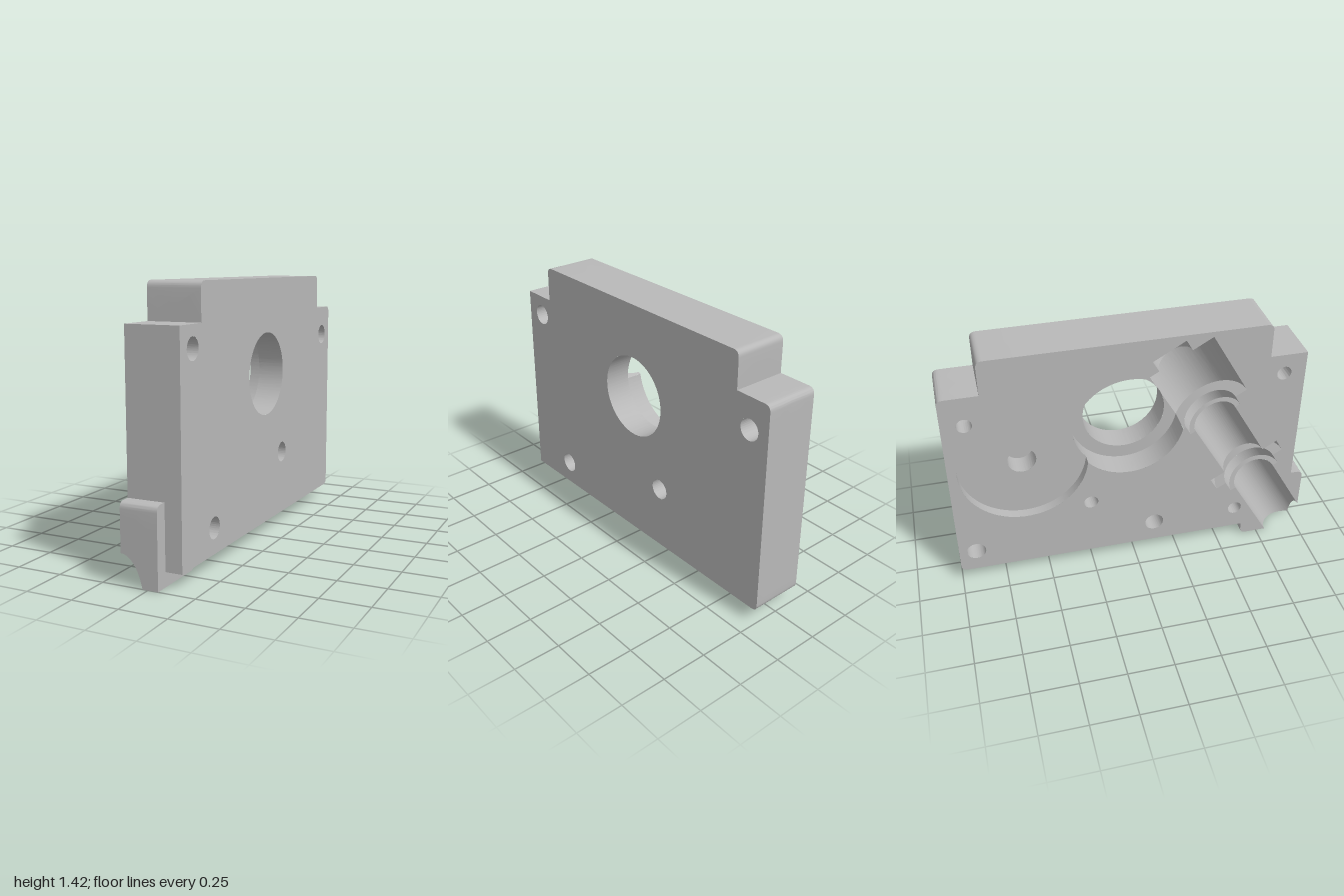
import * as THREE from 'three';
import { toCreasedNormals } from 'three/addons/utils/BufferGeometryUtils.js';

const HALF = 0.145; // half thickness of the plate
const steel = new THREE.MeshStandardMaterial({ color: 0xb8b8b8 });
steel.name = 'plain grey';
const V = (x, y, z) => new THREE.Vector3(x, y, z);

// A round cutter: start point, direction, radius and length
function cutter(name, o, d, r, length) {
  const along = p => (p.x - o.x) * d.x + (p.y - o.y) * d.y + (p.z - o.z) * d.z;
  const radial = p => {
    const t = along(p);
    return Math.hypot(p.x - o.x - d.x * t, p.y - o.y - d.y * t, p.z - o.z - d.z * t) - r;
  };
  const tests = [radial, p => -along(p), p => along(p) - length];
  const distance = p => Math.max(...tests.map(g => g(p)));
  return { name, o, d, r, length, tests, distance };
}

// Hole along x, at (z, y), between two x positions
const hole = (name, z, y, r, x0, x1) => cutter(name, V(x0, y, z), V(1, 0, 0), r, x1 - x0);

// Shaft channel, sloping up towards the back in the open face
const slope = V(0, Math.sqrt(3) / 2, -0.5);
const channelBase = V(-HALF, 0.09, 0.897);
const channel = (name, r, s0, s1) =>
  cutter(name, channelBase.clone().addScaledVector(slope, s0), slope, r, s1 - s0);

const cutters = [
  hole('gearPocket', -0.605, 0.75, 0.347, -0.3, -0.09),
  hole('gearHubHole', -0.605, 0.75, 0.077, -0.3, 0.03),
  hole('mainCounterbore', -0.03, 0.905, 0.3, -0.3, 0),
  hole('mainBore', -0.03, 0.905, 0.225, -0.32, 0.32),
  hole('dowelHoleMiddle', 0.114, 0.205, 0.053, -0.3, 0.03),
  hole('dowelHoleBack', -0.905, 0.205, 0.053, -0.3, 0.03),
  channel('shaftChannel', 0.124, -0.4, 1.2),
  channel('lowerBearingSeat', 0.155, 0.39, 0.51),
  channel('retainingGroove', 0.215, 0.46, 0.54),
  channel('upperBearingSeat', 0.155, 0.91, 1.2),
  channel('upperChamber', 0.225, 0.97, 1.375),
  channel('shaftEndPocket', 0.1, 1.2, 1.445),
];
for (const [z, y] of [[0.81, 1.115], [-0.88, 1.06], [-0.25, 0.43], [0.6, 0.21]]) {
  cutters.push(hole('screwHole', z, y, 0.04, -0.3, 0.3));
  cutters.push(hole('screwCounterbore', z, y, 0.057, -0.06, 0.31));
}

function toPolygons(geo, flip) {
  const g = geo.index ? geo.toNonIndexed() : geo;
  const p = g.attributes.position, out = [];
  for (let i = 0; i < p.count; i += 3) {
    const t = [0, 1, 2].map(k => new THREE.Vector3().fromBufferAttribute(p, i + k));
    out.push(flip ? t.reverse() : t);
  }
  return out;
}

// Halve triangles at their longest edge where a cutter boundary is near
function refine(tri, others, out) {
  const len = [0, 1, 2].map(i => tri[i].distanceTo(tri[(i + 1) % 3]));
  const longest = Math.max(...len);
  const mid = V(0, 0, 0).add(tri[0]).add(tri[1]).add(tri[2]).divideScalar(3);
  if (longest < 0.02 || !others.some(c => Math.abs(c.distance(mid)) < longest)) {
    out.push(tri);
    return;
  }
  const i = len.indexOf(longest);
  const a = tri[i], b = tri[(i + 1) % 3], c = tri[(i + 2) % 3];
  const m = a.clone().lerp(b, 0.5);
  refine([a, m, c], others, out);
  refine([m, b, c], others, out);
}

// Divide a convex polygon where g changes sign
function split(poly, g) {
  const pos = [], neg = [], val = poly.map(g);
  poly.forEach((a, i) => {
    const j = (i + 1) % poly.length, b = poly[j];
    (val[i] > 0 ? pos : neg).push(a);
    if ((val[i] > 0) !== (val[j] > 0)) {
      let lo = 0, hi = 1;
      for (let k = 0; k < 18; k++) {
        const m = (lo + hi) / 2;
        if ((g(a.clone().lerp(b, m)) > 0) === (val[i] > 0)) lo = m; else hi = m;
      }
      const p = a.clone().lerp(b, (lo + hi) / 2);
      pos.push(p);
      neg.push(p);
    }
  });
  return [pos, neg];
}

// Keep what lies outside a cutter
function subtract(polys, c) {
  const out = [];
  let rest = polys;
  for (const g of c.tests) {
    const inside = [];
    for (const p of rest) {
      if (c.distance(p[0]) > 0.5) { out.push(p); continue; }
      const [pos, neg] = split(p, g);
      if (pos.length > 2) out.push(pos);
      if (neg.length > 2) inside.push(neg);
    }
    rest = inside;
  }
  return out;
}

function carve(triangles, others) {
  let polys = [];
  triangles.forEach(t => refine(t, others, polys));
  for (const c of others) polys = subtract(polys, c);
  return polys;
}

function toMesh(name, polys) {
  const pos = [], e1 = V(0, 0, 0), e2 = V(0, 0, 0);
  for (const p of polys) {
    for (let i = 1; i < p.length - 1; i++) {
      e1.subVectors(p[i], p[0]);
      e2.subVectors(p[i + 1], p[0]);
      if (e1.cross(e2).length() < 1e-9) continue;
      for (const v of [p[0], p[i], p[i + 1]]) pos.push(v.x, v.y, v.z);
    }
  }
  const geo = new THREE.BufferGeometry();
  geo.setAttribute('position', new THREE.Float32BufferAttribute(pos, 3));
  const mesh = new THREE.Mesh(toCreasedNormals(geo, 0.5), steel);
  mesh.name = name;
  return mesh;
}

// Side outline of [z, y, corner radius] points, extruded from x0 to x1
function slab(points, x0, x1) {
  const shape = new THREE.Shape();
  const pts = points.map(([z, y, r]) => ({ p: new THREE.Vector2(-z, y), r: r || 0 }));
  pts.forEach(({ p, r }, i) => {
    const prev = pts[(i + pts.length - 1) % pts.length].p, next = pts[(i + 1) % pts.length].p;
    const a = prev.clone().sub(p).setLength(r).add(p);
    const b = next.clone().sub(p).setLength(r).add(p);
    if (i) shape.lineTo(a.x, a.y); else shape.moveTo(a.x, a.y);
    if (r) shape.quadraticCurveTo(p.x, p.y, b.x, b.y);
  });
  const geo = new THREE.ExtrudeGeometry(shape, { depth: x1 - x0, bevelEnabled: false, curveSegments: 6 });
  return geo.rotateY(Math.PI / 2).translate(x0, 0, 0);
}

export function createModel() {
  const group = new THREE.Group();
  group.name = 'gearHousingPlate';

  // Housing plate and the corner foot that wraps its lower front edge
  const plate = slab([[0.93, 0.075], [-1, 0.075, 0.035], [-1, 1.228, 0.035], [-0.79, 1.228],
    [-0.79, 1.422, 0.035], [0.725, 1.422, 0.035], [0.725, 1.228], [0.93, 1.228]], -HALF, HALF);
  const foot = slab([[1, 0], [0.65, 0, 0.035], [0.65, 0.075], [0.93, 0.075],
    [0.93, 0.41], [1, 0.41, 0.035]], -HALF, 0.055);
  group.add(toMesh('housingPlate', carve(toPolygons(plate), cutters)));
  group.add(toMesh('cornerFoot', carve(toPolygons(foot), cutters)));

  // Inner walls and floors of every pocket, trimmed to the body
  const limits = [p => p.x + HALF, p => HALF - p.x, p => p.y, p => 1 - p.z];
  for (const c of cutters) {
    const geo = new THREE.CylinderGeometry(c.r, c.r, c.length, c.r < 0.1 ? 32 : 80);
    geo.translate(0, c.length / 2, 0);
    geo.applyQuaternion(new THREE.Quaternion().setFromUnitVectors(V(0, 1, 0), c.d));
    geo.translate(c.o.x, c.o.y, c.o.z);
    let polys = toPolygons(geo, true);
    for (const g of limits) polys = polys.map(p => split(p, g)[0]).filter(p => p.length > 2);
    const tris = polys.flatMap(p => p.slice(2).map((v, i) => [p[0], p[i + 1], v]));
    group.add(toMesh(c.name, carve(tris, cutters.filter(o => o !== c))));
  }
  return group;
}
